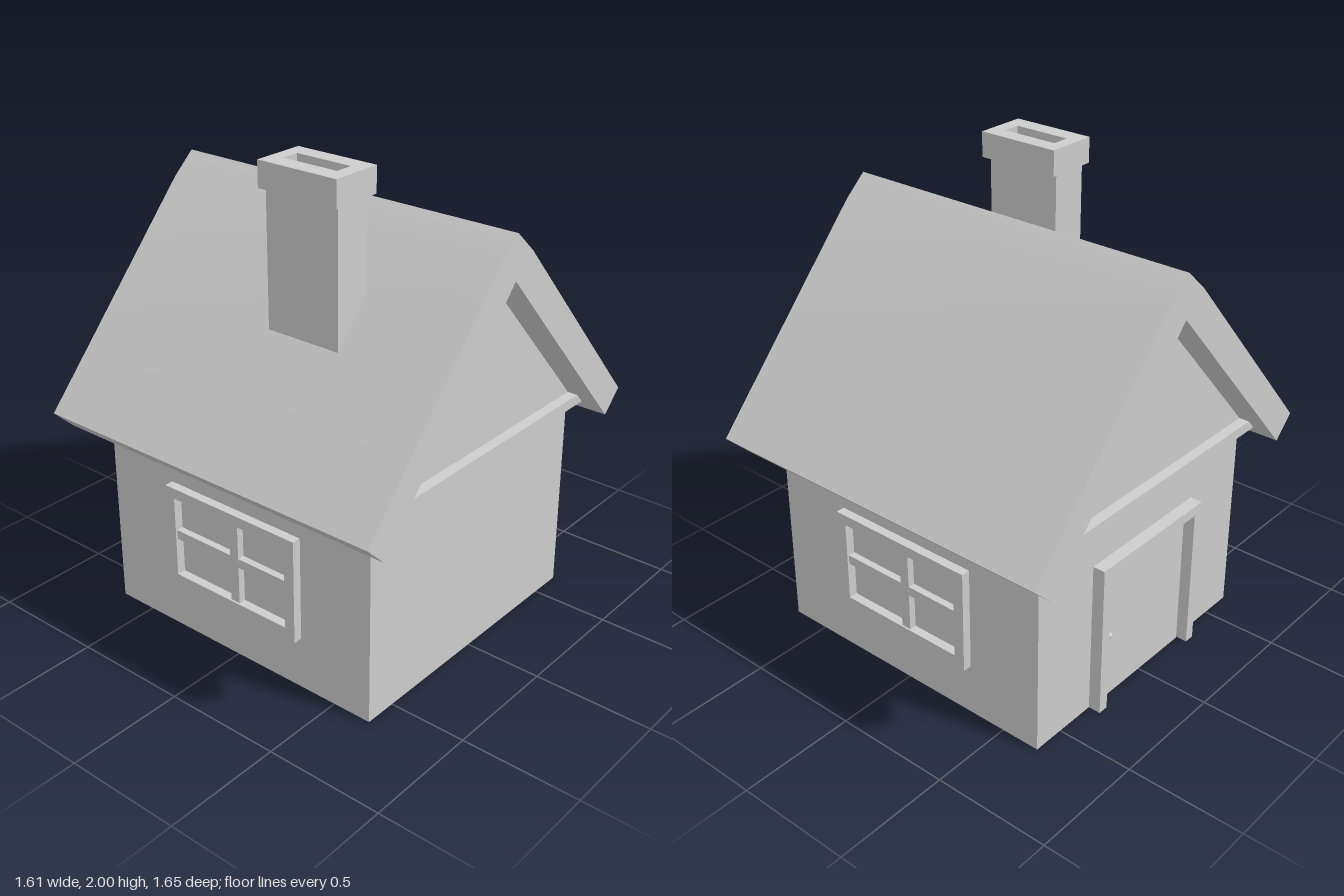
import * as THREE from 'three';
import { toCreasedNormals } from 'three/addons/utils/BufferGeometryUtils.js';

const plaster = new THREE.MeshStandardMaterial({ color: 0xcccccc });
plaster.name = 'light grey';

function add(parent, name, geometry) {
  const mesh = new THREE.Mesh(geometry, plaster);
  mesh.name = name;
  parent.add(mesh);
  return mesh;
}

// Box given by its minimum and maximum corners
function box(parent, name, [x0, y0, z0], [x1, y1, z1]) {
  const mesh = add(parent, name, new THREE.BoxGeometry(x1 - x0, y1 - y0, z1 - z0));
  mesh.position.set((x0 + x1) / 2, (y0 + y1) / 2, (z0 + z1) / 2);
  return mesh;
}

function polygon(points) {
  return new THREE.Shape(points.map(([x, y]) => new THREE.Vector2(x, y)));
}

function rectangle(x0, y0, x1, y1) {
  return polygon([[x0, y0], [x1, y0], [x1, y1], [x0, y1]]);
}

function extrude(shape, depth) {
  return new THREE.ExtrudeGeometry(shape, { depth, bevelEnabled: false });
}

// Gable profile swept along x, centred
function alongX(points, length) {
  return extrude(polygon(points), length).translate(0, 0, -length / 2).rotateY(Math.PI / 2);
}

// Framed window with crossed bars, standing on the wall plane z = 0.64
function makeWindow(name) {
  const group = new THREE.Group();
  group.name = name;
  const frame = rectangle(-0.335, 0.225, 0.335, 0.67);
  frame.holes.push(rectangle(-0.29, 0.275, 0.287, 0.625));
  add(group, 'windowFrame', extrude(frame, 0.038).translate(0, 0, 0.64));
  box(group, 'verticalBar', [0, 0.27, 0.635], [0.043, 0.63, 0.67]);
  box(group, 'horizontalBar', [-0.295, 0.437, 0.635], [0.295, 0.477, 0.6695]);
  return group;
}

// Door on the -x wall: posts and lintel in one piece, panel and knob
function makeDoor() {
  const group = new THREE.Group();
  group.name = 'door';
  const frame = polygon([
    [-0.32, 0], [-0.275, 0], [-0.275, 0.625], [0.275, 0.625],
    [0.275, 0], [0.32, 0], [0.32, 0.67], [-0.32, 0.67],
  ]);
  add(group, 'doorFrame', extrude(frame, 0.053).rotateY(-Math.PI / 2).translate(-0.67, 0, 0));
  box(group, 'doorPanel', [-0.676, 0, -0.27], [-0.668, 0.62, 0.27]);
  const knob = add(group, 'doorKnob', new THREE.SphereGeometry(0.013, 12, 8));
  knob.position.set(-0.69, 0.31, -0.23);
  return group;
}

function makeChimney() {
  const group = new THREE.Group();
  group.name = 'chimney';
  box(group, 'chimneyStack', [0, 1.25, 0.26], [0.335, 1.9, 0.42]);
  // Cap with a flue slot
  const cap = rectangle(-0.015, -0.445, 0.35, -0.225);
  cap.holes.push(rectangle(0.04, -0.37, 0.29, -0.295));
  add(group, 'chimneyCap', extrude(cap, 0.105).rotateX(-Math.PI / 2).translate(0, 1.895, 0));
  return group;
}

export function createModel() {
  const house = new THREE.Group();
  house.name = 'house';

  // Walls with gable ends
  add(house, 'walls', alongX(
    [[-0.64, 0], [0.64, 0], [0.64, 0.92], [0, 1.625], [-0.64, 0.92]], 1.34));

  // Ledge below the gables
  box(house, 'gableLedge', [-0.715, 0.852, -0.686], [0.715, 0.896, 0.686]);

  // Thick roof with a slightly softened ridge
  const half = [[0.1, 1.7], [0.826, 0.892], [0.734, 0.802]];
  const mirrored = half.map(([z, y]) => [-z, y]).reverse();
  const roof = alongX([[0, 1.79], ...half, [0, 1.61], ...mirrored], 1.606);
  add(house, 'roof', toCreasedNormals(roof, 0.3));

  const backWindow = makeWindow('backWindow');
  backWindow.rotation.y = Math.PI;
  house.add(makeWindow('frontWindow'), backWindow, makeDoor(), makeChimney());
  return house;
}
